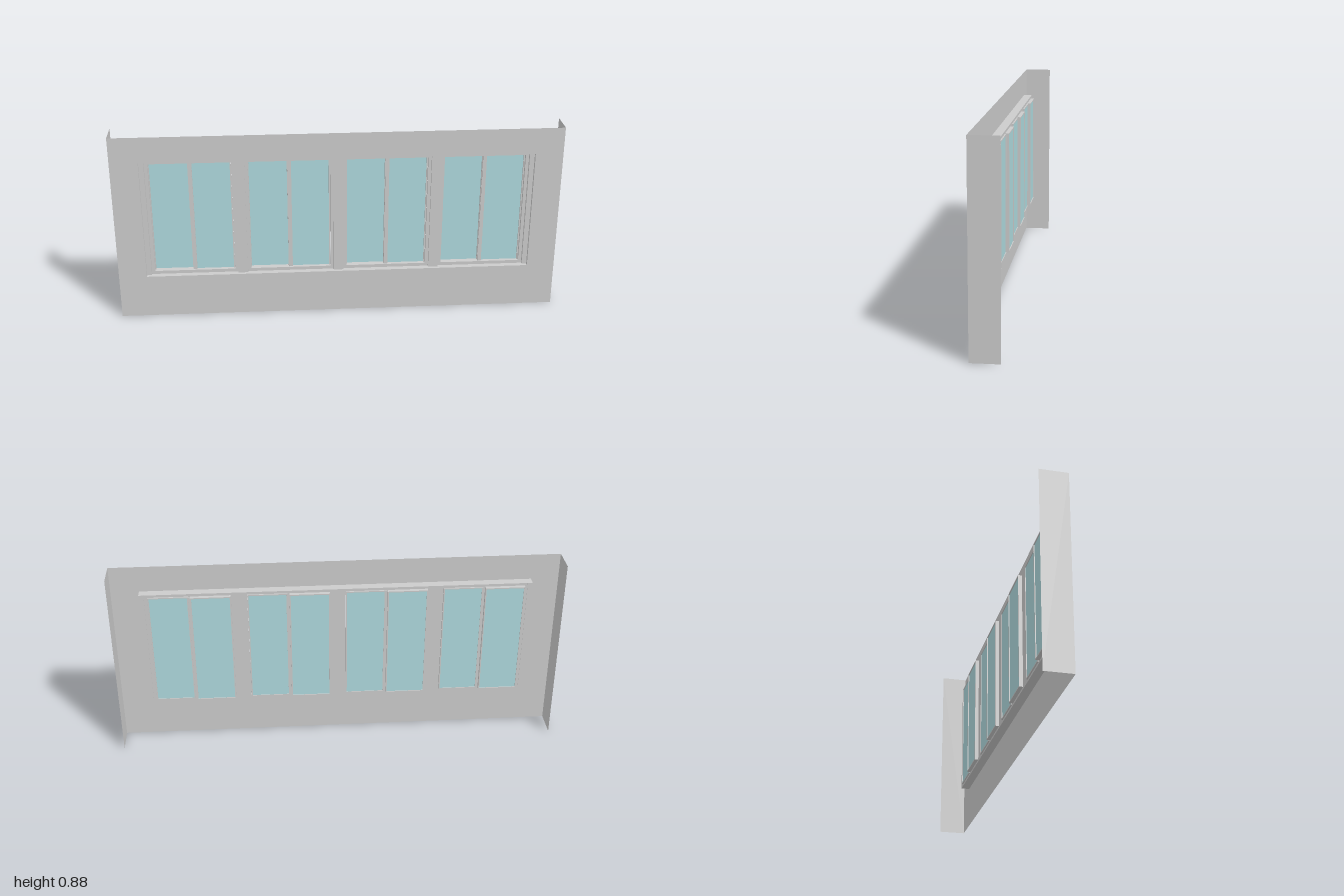
import * as THREE from 'three';

const grey = new THREE.MeshStandardMaterial({ color: 0xcccccc, flatShading: true, side: THREE.DoubleSide });
const glassBlue = new THREE.MeshStandardMaterial({ color: 0xaed9dd, side: THREE.DoubleSide });

const WALL_H = 0.875, FRONT = 0.062, BACK = -0.062;
const OPEN_X = 0.875, OPEN_Y0 = 0.2, OPEN_Y1 = 0.755;
const LINER_BACK = 0.022;

function rect(path, x0, x1, y0, y1) {
  path.moveTo(x0, y0);
  path.lineTo(x1, y0);
  path.lineTo(x1, y1);
  path.lineTo(x0, y1);
  path.closePath();
  return path;
}

function add(group, name, geometry, material = grey) {
  const mesh = new THREE.Mesh(geometry, material);
  mesh.name = name;
  group.add(mesh);
  return mesh;
}

function box(group, name, x0, x1, y0, y1, z0, z1) {
  add(group, name, new THREE.BoxGeometry(x1 - x0, y1 - y0, z1 - z0))
    .position.set((x0 + x1) / 2, (y0 + y1) / 2, (z0 + z1) / 2);
}

// Rectangular ring with bars of the given width
function ring(group, name, x0, x1, y0, y1, z0, z1, bar) {
  const shape = rect(new THREE.Shape(), x0, x1, y0, y1);
  shape.holes.push(rect(new THREE.Path(), x0 + bar, x1 - bar, y0 + bar, y1 - bar));
  const geometry = new THREE.ExtrudeGeometry(shape, { depth: z1 - z0, bevelEnabled: false });
  add(group, name, geometry.translate(0, 0, z0));
}

// Sliding sash: thin ring holding one pane
function sash(group, name, x0, x1, z0, z1, paneZ) {
  const y0 = OPEN_Y0 + 0.01, y1 = OPEN_Y1 - 0.012;
  ring(group, name, x0, x1, y0, y1, z0, z1, 0.005);
  add(group, name + 'Glass', new THREE.PlaneGeometry(x1 - x0 - 0.008, y1 - y0 - 0.008), glassBlue)
    .position.set((x0 + x1) / 2, (y0 + y1) / 2, paneZ);
}

function makeWindow(centre) {
  const g = new THREE.Group();
  g.name = 'slidingWindow';
  ring(g, 'windowFrame', -0.197, 0.197, OPEN_Y0, OPEN_Y1, LINER_BACK, 0.036, 0.015);
  box(g, 'meetingStile', -0.008, 0.008, OPEN_Y0 + 0.015, OPEN_Y1 - 0.015, 0.02, 0.03);
  sash(g, 'rearSash', -0.184, -0.005, 0.005, 0.022, 0.009);
  sash(g, 'frontSash', 0.004, 0.181, 0.016, 0.027, 0.019);
  g.position.x = centre;
  return g;
}

export function createModel() {
  const model = new THREE.Group();
  model.name = 'windowWall';

  // Front wall sheet with its long opening
  const wall = rect(new THREE.Shape(), -1, 1, 0, WALL_H);
  wall.holes.push(rect(new THREE.Path(), -OPEN_X, OPEN_X, OPEN_Y0, OPEN_Y1));
  add(model, 'frontWall', new THREE.ShapeGeometry(wall).translate(0, 0, FRONT));

  // Side returns and the vertical lining of the opening
  const depth = FRONT - LINER_BACK, midZ = (FRONT + LINER_BACK) / 2;
  for (const side of [-1, 1]) {
    const end = add(model, 'sideReturn', new THREE.PlaneGeometry(FRONT - BACK, WALL_H));
    end.rotation.y = side * Math.PI / 2;
    end.position.set(side, WALL_H / 2, 0);

    const lining = add(model, 'sideLining', new THREE.PlaneGeometry(depth, OPEN_Y1 - OPEN_Y0));
    lining.rotation.y = -side * Math.PI / 2;
    lining.position.set(side * OPEN_X, (OPEN_Y0 + OPEN_Y1) / 2, midZ);
  }

  // Sill and head lining
  for (const [name, y, turn] of [['sill', OPEN_Y0, -1], ['headLining', OPEN_Y1, 1]]) {
    const strip = add(model, name, new THREE.PlaneGeometry(2 * OPEN_X, depth));
    strip.rotation.x = turn * Math.PI / 2;
    strip.position.set(0, y, midZ);
  }

  // End jambs and the mullions between windows
  for (const x of [-0.437, 0, 0.437]) {
    box(model, 'mullion', x - 0.022, x + 0.022, OPEN_Y0, OPEN_Y1, LINER_BACK, 0.047);
  }
  box(model, 'rightJamb', -OPEN_X, -0.853, OPEN_Y0, OPEN_Y1, LINER_BACK, 0.047);
  box(model, 'leftJamb', 0.853, OPEN_X, OPEN_Y0, OPEN_Y1, LINER_BACK, 0.047);

  // Four sliding windows
  for (let i = 0; i < 4; i++) model.add(makeWindow((i - 1.5) * 0.437));

  return model;
}
